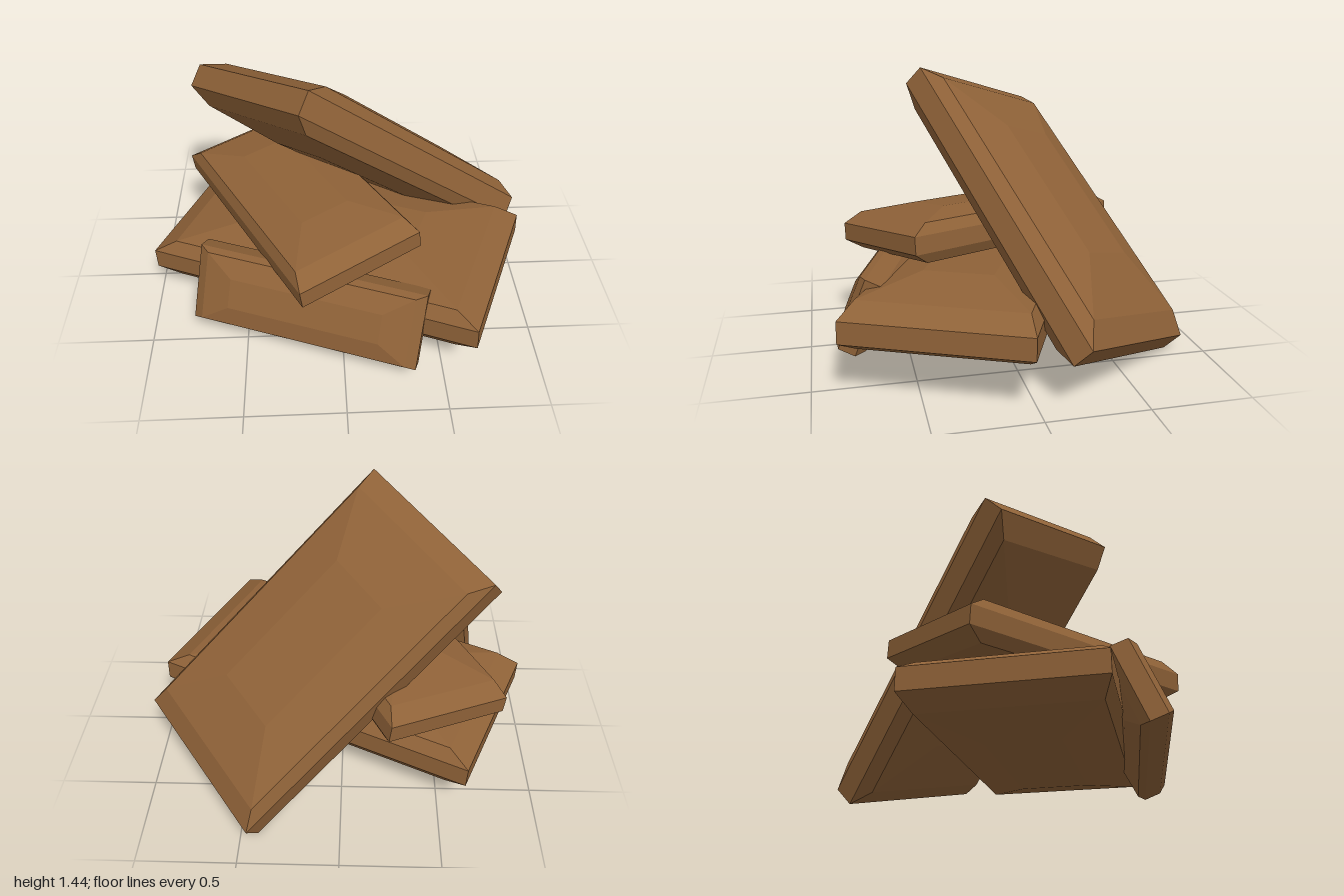
import * as THREE from 'three';

const material = new THREE.MeshStandardMaterial({ color: 0x8f6238, flatShading: true });

// Pillow-shaped slab: stacked rectangular sections (a thin rim, bevelled shoulders, gentle domes).
// l, w: full length and width; rim, shoulder, dome: half-thickness at each section.
function slabGeometry(l, w, rim, shoulder, dome) {
  const k = w / 0.92;
  const half = [
    [l / 2, w / 2, rim],
    [l / 2 - 0.12 * k, w / 2 - 0.045 * k, shoulder],
    [l / 2 - 0.45 * k, w / 2 - 0.28 * k, dome],
  ];
  const sections = [...half.map(([a, b, h]) => [a, b, -h]).reverse(), ...half];
  const pos = [], index = [];
  for (const [a, b, h] of sections)
    for (const [sx, sz] of [[1, 1], [1, -1], [-1, -1], [-1, 1]]) pos.push(sx * a, h, sz * b);
  for (let s = 0; s < sections.length - 1; s++)
    for (let i = 0; i < 4; i++) {
      const a = s * 4 + i, b = s * 4 + (i + 1) % 4;
      index.push(a, b, b + 4, a, b + 4, a + 4);
    }
  const t = (sections.length - 1) * 4;
  index.push(t, t + 1, t + 2, t, t + 2, t + 3, 0, 2, 1, 0, 3, 2);
  const g = new THREE.BufferGeometry();
  g.setAttribute('position', new THREE.Float32BufferAttribute(pos, 3));
  g.setIndex(index);
  g.computeVertexNormals();
  return g;
}

// Places a slab by its centre and by the directions of its long and short edges.
function slab(name, { size, thickness, center, along, across }) {
  const mesh = new THREE.Mesh(slabGeometry(...size, ...thickness), material);
  mesh.name = name;
  const x = new THREE.Vector3(...along).normalize();
  const y = new THREE.Vector3(...across).cross(x).normalize();
  const z = new THREE.Vector3().crossVectors(x, y);
  mesh.quaternion.setFromRotationMatrix(new THREE.Matrix4().makeBasis(x, y, z));
  mesh.position.set(...center);
  return mesh;
}

export function createModel() {
  const pile = new THREE.Group();
  pile.name = 'slabPile';
  pile.add(
    // wide slab lying at the bottom
    slab('baseSlab', {
      size: [1.77, 0.91], thickness: [0.055, 0.12, 0.175],
      center: [0, 0.32, 0.1], along: [1.62, 0.07, 0.71], across: [-0.37, 0, 0.83],
    }),
    // smaller slab lying across it
    slab('upperSlab', {
      size: [1.33, 0.67], thickness: [0.045, 0.1, 0.135],
      center: [-0.22, 0.59, 0.045], along: [0.62, 0.05, 1.18], across: [-0.59, -0.08, 0.3],
    }),
    // large slab leaning over the pile
    slab('leaningSlab', {
      size: [1.71, 0.92], thickness: [0.06, 0.12, 0.17],
      center: [0.135, 0.73, -0.225], along: [1.17, -1.11, -0.57], across: [0.56, 0.25, 0.69],
    }),
    // narrow slab propped against the front
    slab('frontSlab', {
      size: [1.17, 0.4], thickness: [0.045, 0.08, 0.11],
      center: [-0.17, 0.325, 0.565], along: [1.11, -0.03, 0.38], across: [0.05, 0.36, -0.14],
    }),
  );
  return pile;
}
